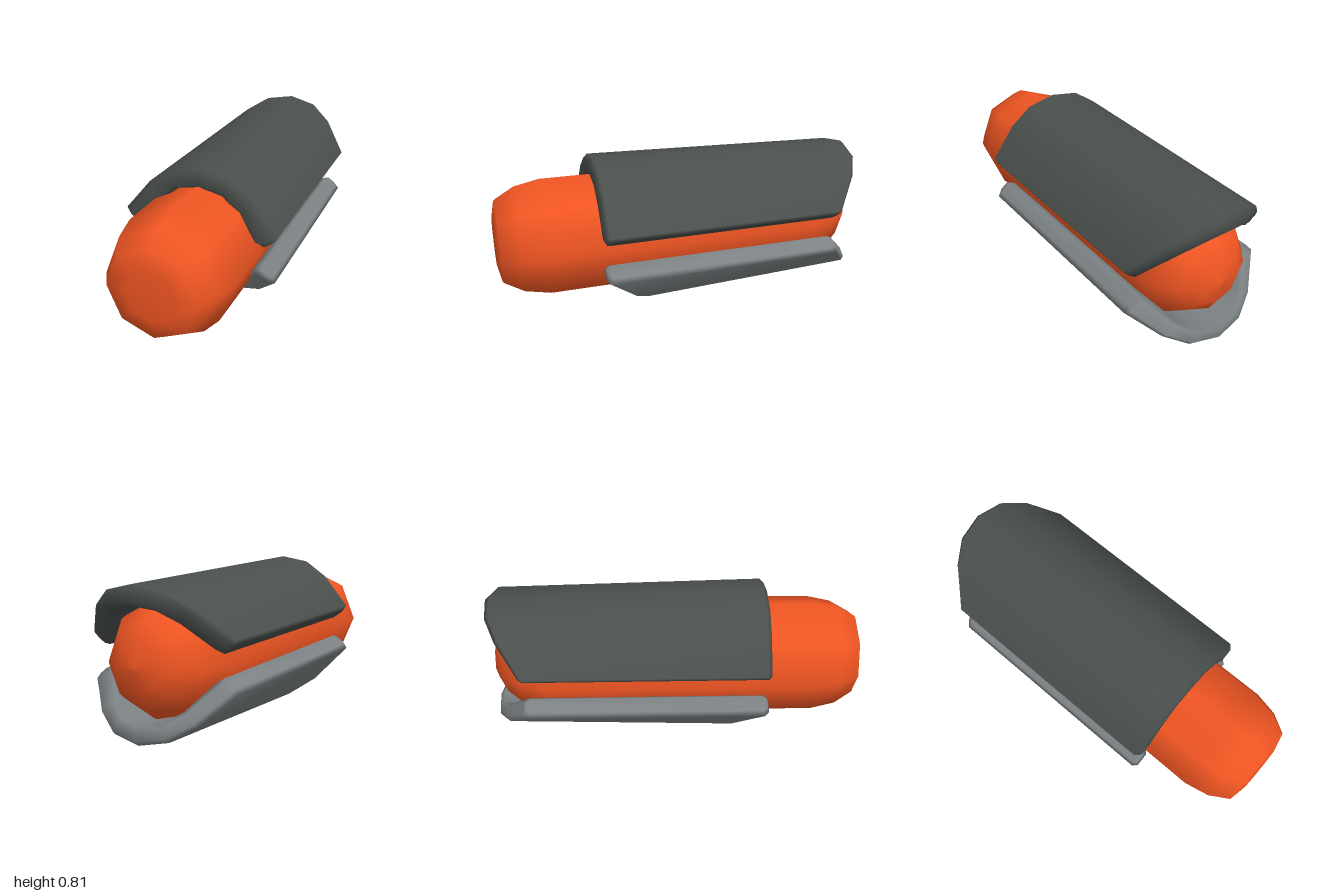
import * as THREE from 'three';

const AXIS_Y = 0.414;

// One column of a shell: outer and inner point of the cross-section (from the axis), front and back end
const column = (outer, inner, front, back) => ({ outer, inner, front, back });

// Curved plate: a chamfered strip swept along an arc from -x to +x, flattening towards the back
function shellGeometry(half, taper) {
  const mirrored = half.slice(1).reverse().map((c) => ({
    ...c, outer: [-c.outer[0], c.outer[1]], inner: [-c.inner[0], c.inner[1]],
  }));
  const columns = [...mirrored, ...half];
  const bevelS = 0.2, bevelZ = 0.022, n = 8;
  const positions = [], index = [];
  for (const { outer, inner, front, back } of columns) {
    const f = front - bevelZ, b = back + bevelZ;
    const ring = [
      [1, f], [1, b], [1 - bevelS, back], [bevelS, back],
      [0, b], [0, f], [bevelS, front], [1 - bevelS, front],
    ];
    for (const [s, z] of ring) {
      const x = THREE.MathUtils.lerp(inner[0], outer[0], s);
      const y = THREE.MathUtils.lerp(inner[1], outer[1], s);
      const weight = Math.max(0, Math.min(1, (y - 0.1) / 0.25));
      positions.push(x, y - taper * (0.48 - z) * weight, z);
    }
  }
  for (let c = 0; c < columns.length - 1; c++) {
    for (let r = 0; r < n; r++) {
      const a = c * n + r, d = c * n + (r + 1) % n;
      index.push(a, a + n, d, a + n, d + n, d);
    }
  }
  // End caps
  const last = (columns.length - 1) * n;
  for (let k = 1; k < n - 1; k++) {
    index.push(0, k, k + 1, last, last + k + 1, last + k);
  }
  const geometry = new THREE.BufferGeometry();
  geometry.setAttribute('position', new THREE.Float32BufferAttribute(positions, 3));
  geometry.setIndex(index);
  geometry.computeVertexNormals();
  return geometry;
}

// Half cross-section shared by both shells, from the crown to the rim
function shellColumns(fronts) {
  const outer = [[0, 0.411], [0.155, 0.381], [0.274, 0.294], [0.407, 0.126], [0.393, 0.1]];
  const inner = [[0, 0.311], [0.115, 0.288], [0.2, 0.216], [0.295, 0.076], [0.33, 0.054]];
  const backs = [-1, -0.98, -0.92, -0.8, -0.78];
  return outer.map((o, i) => column(o, inner[i], fronts[i], backs[i]));
}

export function createModel() {
  const model = new THREE.Group();
  const add = (name, geometry, color, turn = 0) => {
    const mesh = new THREE.Mesh(geometry, new THREE.MeshStandardMaterial({ color }));
    mesh.name = name;
    mesh.position.y = AXIS_Y;
    mesh.rotation.z = turn;
    model.add(mesh);
  };

  // Eight-sided core with a domed back and a blunt, rounded front
  const profile = [
    [0, -0.99], [0.12, -0.97], [0.2, -0.92], [0.27, -0.83], [0.318, -0.68],
    [0.318, 0.75], [0.29, 0.88], [0.23, 0.98], [0.13, 1], [0, 1],
  ].map(([r, z]) => new THREE.Vector2(r, z));
  add('core', new THREE.LatheGeometry(profile, 8).rotateX(Math.PI / 2), 0xf05522);

  // Upper shell with a square front, lower shell with a slanted front
  const tilt = -0.03;
  add('upperShell', shellGeometry(shellColumns([0.49, 0.49, 0.49, 0.49, 0.475]), 0.024), 0x4a504d, tilt);
  add('lowerShell', shellGeometry(shellColumns([0.2, 0.23, 0.33, 0.49, 0.48]), 0.042), 0x7c8284, Math.PI + tilt);

  return model;
}
